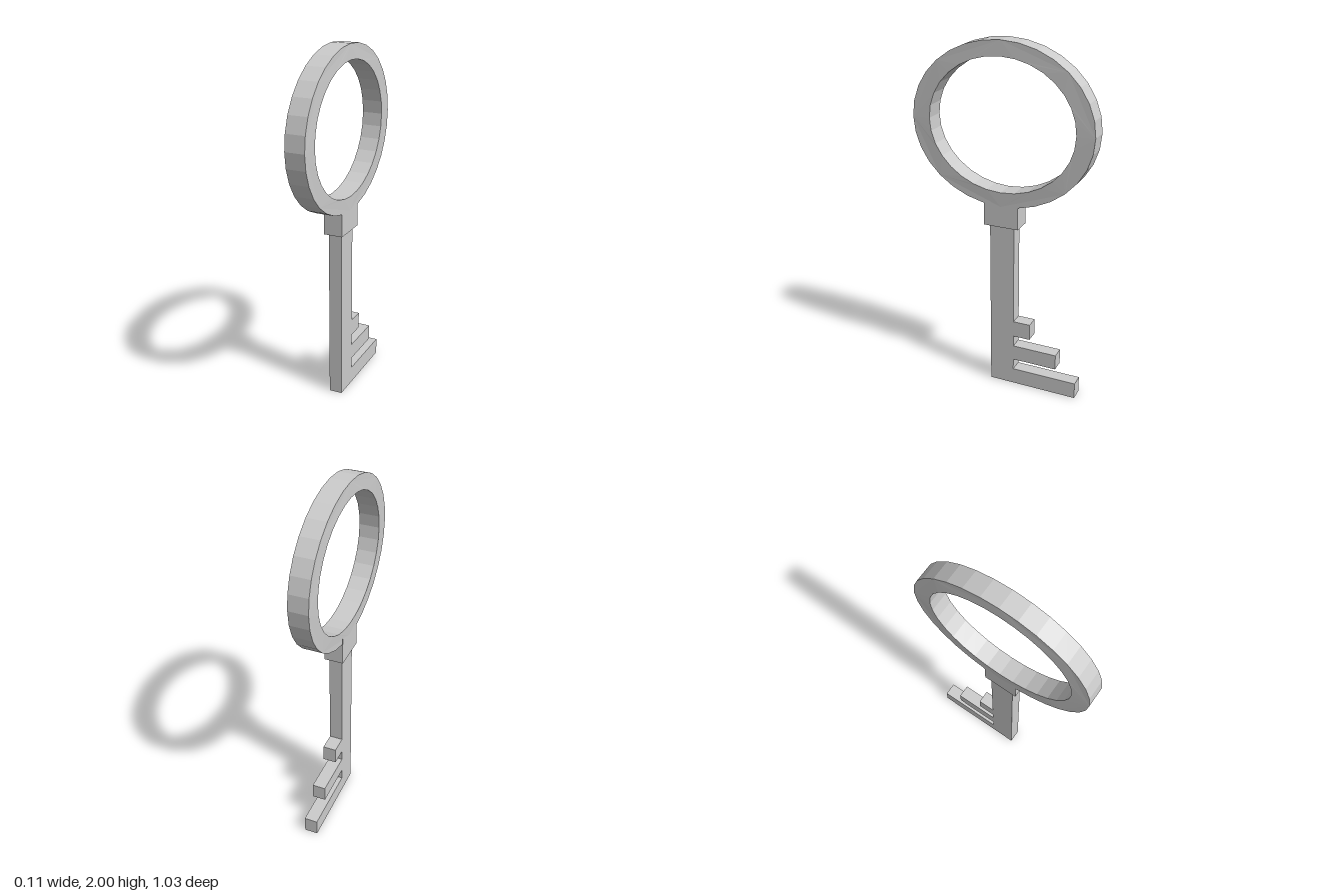
import * as THREE from 'three';

const material = new THREE.MeshStandardMaterial({ color: 0xcccccc, flatShading: true });

// Extrudes a side outline (u = towards the back, v = up), centred on x = 0 and turned into the yz plane.
function plate(shape, thickness) {
  const geometry = new THREE.ExtrudeGeometry(shape, { depth: thickness, bevelEnabled: false, curveSegments: 16 });
  return geometry.translate(0, 0, -thickness / 2);
}

function addPart(group, name, geometry, x, y) {
  geometry.rotateY(Math.PI / 2);
  const mesh = new THREE.Mesh(geometry, material);
  mesh.name = name;
  mesh.position.set(x, y, 0);
  group.add(mesh);
}

export function createModel() {
  const key = new THREE.Group();
  key.name = 'key';

  // Oval bow, a touch thinner at its outer rim
  const bowShape = new THREE.Shape().absellipse(0, 0, 0.515, 0.445, 0, Math.PI * 2);
  bowShape.holes.push(new THREE.Path().absellipse(0, 0, 0.415, 0.363, 0, Math.PI * 2));
  const bow = plate(bowShape, 0.114);
  const p = bow.attributes.position;
  for (let i = 0; i < p.count; i++) {
    if (Math.hypot(p.getX(i) / 0.515, p.getY(i) / 0.445) > 0.95) p.setZ(i, p.getZ(i) * 0.95);
  }
  bow.computeVertexNormals();
  addPart(key, 'bow', bow, -0.002, 1.555);

  // Square collar running up into the bow
  addPart(key, 'collar', new THREE.BoxGeometry(0.2, 0.165, 0.107), -0.003, 1.0725);

  // Shaft and its three teeth in one outline: [bottom, top, reach]
  const teeth = [[0, 0.095, 0.45], [0.16, 0.25, 0.33], [0.315, 0.41, 0.17]];
  const half = 0.071;
  const outline = [[-half, 0]];
  for (const [bottom, top, reach] of teeth) {
    if (bottom > 0) outline.push([half, bottom]);
    outline.push([reach, bottom], [reach, top], [half, top]);
  }
  outline.push([half, 0.99], [-half, 0.99]);
  const shaftShape = new THREE.Shape(outline.map(([u, v]) => new THREE.Vector2(u, v)));
  addPart(key, 'shaftAndTeeth', plate(shaftShape, 0.075), -0.004, 0);

  return key;
}
